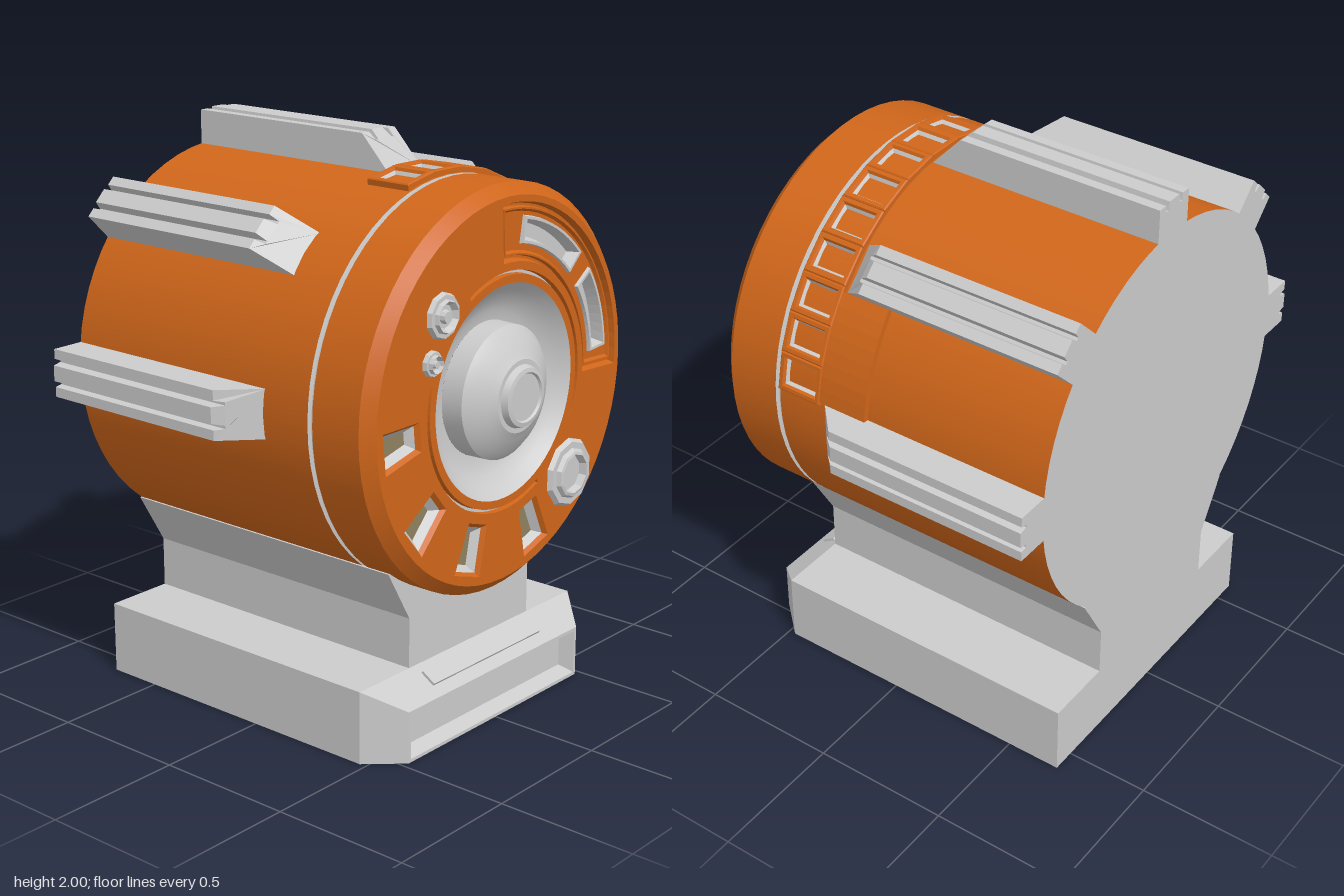
import * as THREE from 'three';
import { toCreasedNormals } from 'three/addons/utils/BufferGeometryUtils.js';

const grey = new THREE.MeshStandardMaterial({ color: 0xcccccc });
const orange = new THREE.MeshStandardMaterial({ color: 0xd0661a });
const khaki = new THREE.MeshStandardMaterial({ color: 0x8f8260 });
const rad = THREE.MathUtils.degToRad;
const FACE = 0.61, BACK = -0.7, R = 0.7;

function add(parent, name, geometry, material) {
  const mesh = new THREE.Mesh(geometry, material);
  mesh.name = name;
  parent.add(mesh);
  return mesh;
}

const vectors = (pts) => pts.map(([x, y]) => new THREE.Vector2(x, y));

// Counter-clockwise outlines, each shrunk by d
const rect = (x0, x1, y0, y1, d = 0) =>
  [[x0 + d, y0 + d], [x1 - d, y0 + d], [x1 - d, y1 - d], [x0 + d, y1 - d]];

function sector(r0, r1, deg0, deg1, n, d = 0) {
  const pts = [];
  for (const [r, flip] of [[r1 - d, false], [r0 + d, true]]) {
    const a0 = rad(deg0) + d / r, a1 = rad(deg1) - d / r;
    for (let i = 0; i <= n; i++) {
      const t = flip ? 1 - i / n : i / n;
      const a = a0 + (a1 - a0) * t;
      pts.push([r * Math.cos(a), r * Math.sin(a)]);
    }
  }
  return pts;
}

function circle(r, n = 64) {
  return Array.from({ length: n }, (_, i) =>
    [r * Math.cos(i / n * Math.PI * 2), r * Math.sin(i / n * Math.PI * 2)]);
}

// Skin through outlines at given z, each [outline, z]
function loft(loops) {
  const pos = [];
  for (let k = 0; k + 1 < loops.length; k++) {
    const [[p, z0], [q, z1]] = [loops[k], loops[k + 1]];
    for (let i = 0; i < p.length; i++) {
      const j = (i + 1) % p.length;
      const a = [...p[i], z0], b = [...p[j], z0], c = [...q[j], z1], e = [...q[i], z1];
      pos.push(...a, ...b, ...c, ...a, ...c, ...e);
    }
  }
  const g = new THREE.BufferGeometry();
  g.setAttribute('position', new THREE.Float32BufferAttribute(pos, 3));
  g.computeVertexNormals();
  return g;
}

// Flat plate with holes
function plate(outline, holes, z) {
  const shape = new THREE.Shape(vectors(outline));
  holes.forEach((h) => shape.holes.push(new THREE.Path(vectors(h))));
  return new THREE.ShapeGeometry(shape).translate(0, 0, z);
}

// Stepped recess: steps are [inset, z, material of the wall leading there]
function pocket(parent, name, outline, z, steps, floorMaterial) {
  const group = new THREE.Group();
  group.name = name;
  let last = [outline(0), z];
  for (const [d, zz, mat] of steps) {
    const next = [outline(d), zz];
    add(group, name + 'Wall', loft([last, next]), mat);
    last = next;
  }
  if (floorMaterial) add(group, name + 'Floor', plate(last[0], [], last[1]), floorMaterial);
  parent.add(group);
}

// Turned part around the z axis, profile points are [radius, z]
function turned(profile, segments = 64, crease = 0.45) {
  const g = new THREE.LatheGeometry(vectors(profile), segments).rotateX(Math.PI / 2);
  return toCreasedNormals(g, crease);
}

function extrude(pts, z0, z1) {
  const shape = new THREE.Shape(vectors(pts));
  return new THREE.ExtrudeGeometry(shape, { depth: z1 - z0, bevelEnabled: false }).translate(0, 0, z0);
}

function buildFace(drum) {
  const panel = (d) => sector(0.44, 0.637, -3, 93, 20, d);
  const slots = [[4, 35], [43, 80]].map(([a, b]) => (d) => sector(0.495, 0.59, a, b, 8, d));
  const windows = [186, 220, 252, 288].map((a) => (d) => sector(0.45, 0.63, a - 6.5, a + 6.5, 1, d));
  const arcs = [[-25, 119], [165, 298]].map(([a, b]) => (d) => sector(0.398, 0.412, a, b, 32, d));
  const holes = [panel, ...windows, ...arcs].map((f) => f(0));
  add(drum, 'frontFace', plate(circle(0.66), [circle(0.37), ...holes], FACE), orange);

  // Curved panel with a double rim and two slots
  const floor = FACE - 0.02;
  pocket(drum, 'curvedPanel', panel, FACE,
    [[0.008, FACE - 0.025, orange], [0.016, FACE - 0.025, orange], [0.02, FACE - 0.01, orange],
      [0.026, FACE - 0.01, orange], [0.034, floor, orange]], null);
  add(drum, 'curvedPanelFloor', plate(panel(0.034), slots.map((s) => s(0)), floor), orange);
  slots.forEach((s) => pocket(drum, 'panelSlot', s, floor,
    [[0.003, floor + 0.012, grey], [0.012, floor + 0.012, grey], [0.025, floor - 0.03, grey]], grey));

  windows.forEach((w) => pocket(drum, 'faceWindow', w, FACE,
    [[0.012, FACE - 0.015, orange], [0.034, FACE - 0.04, grey]], khaki));
  arcs.forEach((a) => pocket(drum, 'arcGroove', a, FACE, [[0.002, FACE - 0.02, orange]], grey));

  // Dish with raised hub
  add(drum, 'dish', turned([[0.37, FACE], [0.34, 0.575], [0.3, 0.545], [0.265, 0.53], [0.232, 0.525]]), grey);
  add(drum, 'hub', turned([[0.232, 0.525], [0.23, 0.605], [0.2, 0.632], [0.155, 0.655], [0.125, 0.673],
    [0.108, 0.673], [0.1, 0.695], [0.085, 0.698], [0.08, 0.69], [0, 0.69]], 48), grey);

  // Faceted knobs: x, y, radius, pin
  for (const [x, y, r, pin] of [[-0.343, 0.33, 0.08, true], [-0.396, 0.185, 0.045, true], [0.37, -0.373, 0.127, false]]) {
    const core = pin
      ? [[r * 0.5, 0.012], [r * 0.3, 0.012], [r * 0.25, 0.03], [0, 0.03]]
      : [[r * 0.56, 0.035], [r * 0.5, 0.008], [0, 0.008]];
    const g = turned([[r, 0], [r * 0.9, 0.018], [r * 0.72, 0.018], [r * 0.65, 0.032], ...core], 10, 0.1);
    add(drum, 'knob', g, grey).position.set(x, y, FACE - 0.002);
  }
}

function buildBelt(drum) {
  // Row of windowed boxes around the top and left of the drum
  const step = 100 / 9, top = 0.72;
  const half = top * Math.tan(rad(step / 2));
  const outline = (d) => rect(-half, half, -0.0875, 0.0875, d);
  for (let i = 0; i < 9; i++) {
    const box = new THREE.Group();
    box.name = 'beltBox';
    pocket(box, 'beltWindow', outline, 0.67,
      [[0.001, top - 0.004, orange], [0.005, top, orange], [0.018, top, orange],
        [0.024, top - 0.01, orange], [0.036, top - 0.028, grey]], khaki);
    box.rotation.x = -Math.PI / 2;
    box.position.z = 0.2625;
    const arm = new THREE.Group();
    arm.name = 'beltSegment';
    arm.rotation.z = rad(6 + step * (i + 0.5) - 90);
    arm.add(box);
    drum.add(arm);
  }
  add(drum, 'sideBlock', extrude(sector(0.69, 0.72, 7, 38, 8), -0.01, 0.175), orange);
}

function buildFins(drum) {
  // Ribbed fins with a sloped front end
  const side = [[0.085, 0.69], [0.085, 0.815], [0.05, 0.815], [0.045, 0.79], [0.034, 0.79], [0.028, 0.82]];
  const g = extrude([...side, ...side.map(([x, y]) => [-x, y]).reverse()], BACK, 0.175);
  const p = g.attributes.position;
  for (let i = 0; i < p.count; i++) {
    if (p.getZ(i) > 0) p.setZ(i, 0.175 - 0.125 * Math.max(0, p.getY(i) - 0.715) / 0.105);
  }
  g.computeVertexNormals();
  for (let i = 0; i < 5; i++) add(drum, 'fin', g, grey).rotation.z = rad(-90 + 45 * i);
}

function buildStand(model) {
  add(model, 'cradle', extrude([[-0.33, 0.2], [0.33, 0.2], [0.33, 0.44], [0.44, 0.63], [-0.44, 0.63], [-0.33, 0.44]],
    BACK, 0.475), grey);
  const body = rect(-0.585, 0.585, 0, 0.26);
  const front = (d) => rect(-0.475, 0.475, 0, 0.185, d);
  add(model, 'base', loft([[body.map(() => [0, 0.13]), BACK], [body, BACK], [body, 0.475], [front(0), 0.595]]), grey);
  pocket(model, 'baseRecess', front, 0.595, [[0.012, 0.595, grey], [0.035, 0.545, grey]], grey);
  const bar = add(model, 'baseBar', new THREE.BoxGeometry(0.6, 0.02, 0.06), grey);
  bar.position.set(0, 0.225, 0.53);
  bar.rotation.x = 0.56;
}

export function createModel() {
  const model = new THREE.Group();
  model.name = 'drumMachine';
  const drum = new THREE.Group();
  drum.name = 'drum';
  drum.position.y = 1.18;
  model.add(drum);

  add(drum, 'drumBody', turned([[R, BACK], [R, 0.358]]), orange);
  add(drum, 'drumGroove', turned([[R, 0.358], [0.686, 0.362], [0.686, 0.374], [R, 0.378]]), grey);
  add(drum, 'drumRim', turned([[R, 0.378], [R, 0.57], [0.66, FACE]]), orange);
  const back = add(drum, 'backPlate', new THREE.CircleGeometry(R, 64), grey);
  back.rotation.y = Math.PI;
  back.position.z = BACK;

  buildFace(drum);
  buildBelt(drum);
  buildFins(drum);
  buildStand(model);
  return model;
}
